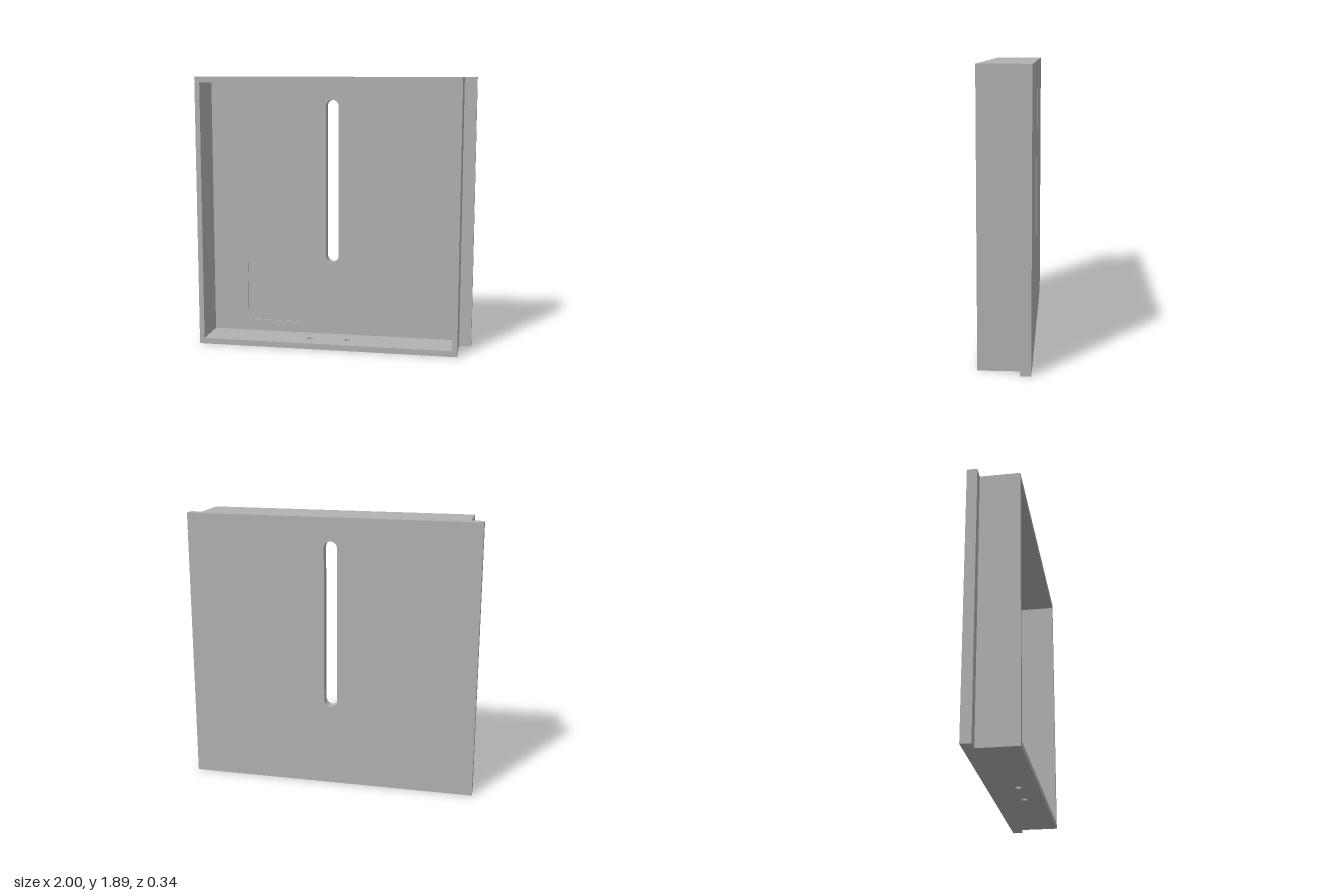
import * as THREE from 'three';

const H = 1.89;          // overall height
const BACK = -0.17;      // rear face
const FLOOR = -0.1;      // inner face of the back plate
const FRONT = 0.17;      // open front rim
const OUT = 0.915, INN = 0.88, WALL = 0.04;
const RECESS = 0.01;

const polygon = (pts, Type = THREE.Shape) => new Type(pts.map(([x, y]) => new THREE.Vector2(x, y)));
const rect = (x0, y0, x1, y1, Type) => polygon([[x0, y0], [x1, y0], [x1, y1], [x0, y1]], Type);

function extrude(shape, depth) {
  return new THREE.ExtrudeGeometry(shape, { depth, bevelEnabled: false, curveSegments: 16 });
}

// Vertical slot with round ends
function slot() {
  const r = 0.045, y0 = 0.57 + r, y1 = 1.73 - r;
  const p = new THREE.Path();
  p.moveTo(r, y0);
  p.lineTo(r, y1);
  p.absarc(0, y1, r, 0, Math.PI, false);
  p.lineTo(-r, y0);
  p.absarc(0, y0, r, Math.PI, Math.PI * 2, false);
  return p;
}

export function createModel() {
  const group = new THREE.Group();
  const grey = new THREE.MeshStandardMaterial({ color: 0xb2b2b2 });
  grey.name = 'light grey';

  const add = (name, geometry) => {
    const mesh = new THREE.Mesh(geometry, grey);
    mesh.name = name;
    group.add(mesh);
    return mesh;
  };

  // Back plate with side flanges, pierced by the slot
  const plate = rect(-1, 0, 1, H);
  plate.holes.push(slot());
  add('backPlate', extrude(plate, FLOOR - BACK - RECESS)).position.z = BACK;

  // Thin inner layer that leaves a shallow square recess
  const layer = rect(-1, 0, 1, H);
  layer.holes.push(slot(), rect(-0.626, 0.12, -0.2, 0.55, THREE.Path));
  add('recessLayer', extrude(layer, RECESS)).position.z = FLOOR - RECESS;

  // Side and top walls of the tray
  const walls = polygon([
    [-OUT, WALL], [-INN, WALL], [-INN, H - WALL], [INN, H - WALL],
    [INN, WALL], [OUT, WALL], [OUT, H], [-OUT, H],
  ]);
  add('sideAndTopWalls', extrude(walls, FRONT - FLOOR)).position.z = FLOOR;

  // Bottom wall with two round holes, extruded upwards (shape y becomes -z)
  const base = rect(-OUT, -FRONT, OUT, -FLOOR);
  for (const x of [-0.135, 0.135]) {
    base.holes.push(new THREE.Path().absarc(x, -0.035, 0.023, 0, Math.PI * 2, true));
  }
  add('bottomWall', extrude(base, WALL)).rotation.x = -Math.PI / 2;

  return group;
}
